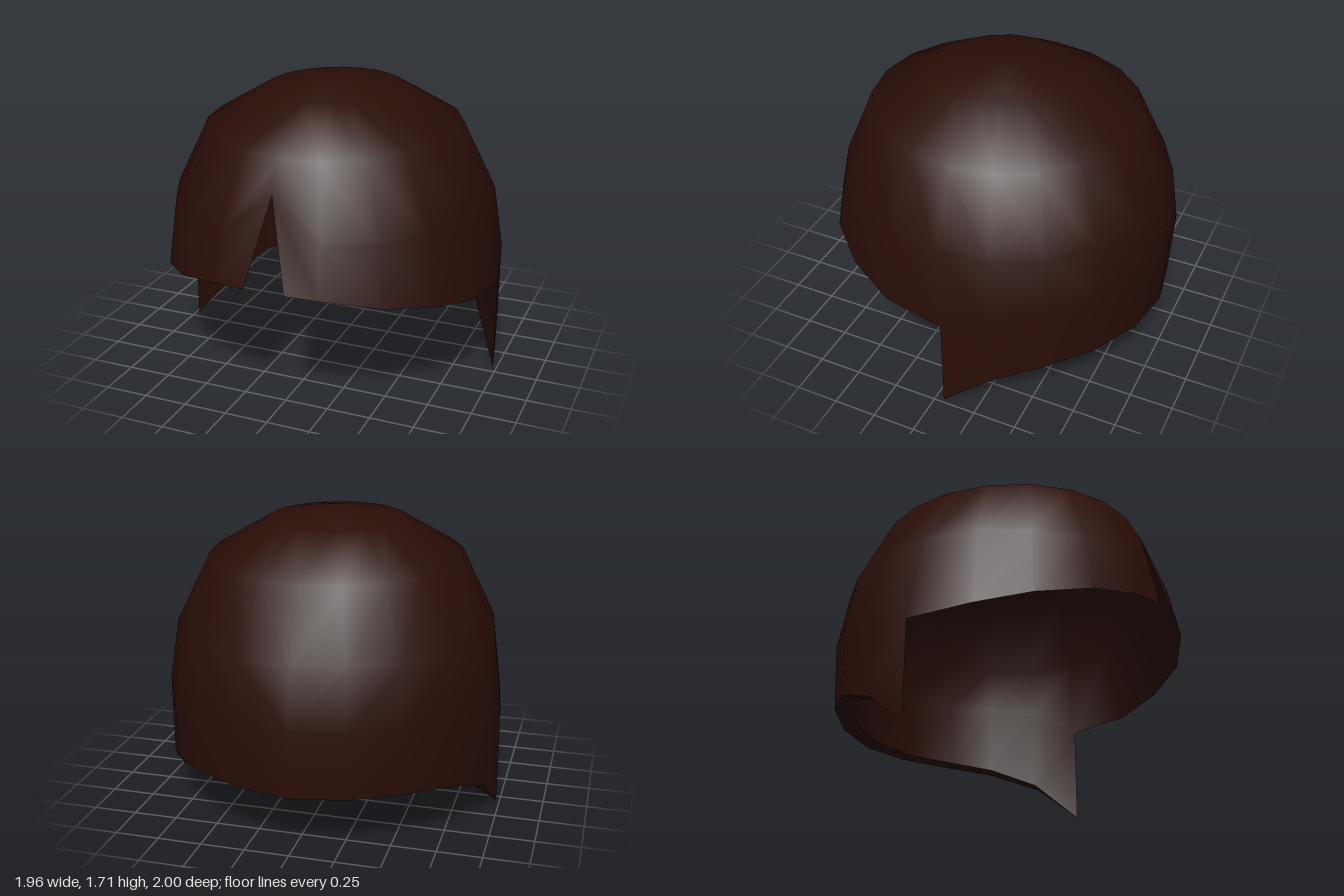
import * as THREE from 'three';
import { mergeVertices } from 'three/addons/utils/BufferGeometryUtils.js';

// Half outlines [x, y, z], running from front centre round to back centre
const BROW = [
  [0.115, 0.77, 1], [0.3, 0.755, 0.96], [0.58, 0.7, 0.82], [0.79, 0.645, 0.59], [0.93, 0.59, 0.31], [0.98, 0.565, -0.05],
  [0.93, 0.68, -0.31], [0.79, 0.72, -0.59], [0.58, 0.72, -0.81], [0.3, 0.72, -0.95], [0, 0.72, -1],
];
const NAPE = [
  [0.98, 0, -0.05], [0.93, 0.205, -0.3], [0.79, 0.31, -0.58], [0.58, 0.335, -0.79], [0.3, 0.33, -0.93], [0, 0.325, -0.98],
];
// Crown rings: x radius, z radius, height, z shift
const CROWN = [[0, 0, 1.705, 0], [0.385, 0.415, 1.635, 0.005], [0.725, 0.772, 1.435, 0.008], [0.92, 0.95, 1.04, 0]];

// Outer point on ring r at column j (20 columns, 0 and 20 at the front)
function outerPoint(r, j) {
  const k = Math.min(j, 20 - j), side = j <= 10 ? 1 : -1;
  if (r === 3 && k === 0) return [0, 1.26, 0.87]; // top of the parting notch
  if (r < 4) {
    const [rx, rz, y, dz] = CROWN[r], a = (k * Math.PI) / 10;
    return [side * rx * Math.sin(a), y, rz * Math.cos(a) + dz];
  }
  const [x, y, z] = r === 4 ? BROW[k] : NAPE[k - 5];
  return [side * x, y, z];
}

// Lining point: meets the outer hair along the brow, notch and side tips, set in elsewhere
function innerPoint(r, j) {
  const k = Math.min(j, 20 - j), [x, y, z] = outerPoint(r, j);
  if ((r >= 4 && k <= 5) || (r === 3 && k === 0)) return [x, y, z];
  if (r >= 4) return [x * 0.895, y, z * 0.895];
  return [x * 0.92, 0.4 + (y - 0.4) * 0.92, z * 0.92];
}

function geometryFrom(triangles) {
  let g = new THREE.BufferGeometry();
  g.setAttribute('position', new THREE.Float32BufferAttribute(triangles.flat(2), 3));
  g = mergeVertices(g, 1e-4);
  g.computeVertexNormals();
  return g;
}

// Domed rings, with the lowest band only round the back
function shell(point, inward) {
  const tris = [];
  for (let r = 0; r < 5; r++) {
    for (let j = r === 4 ? 5 : 0; j < (r === 4 ? 15 : 20); j++) {
      const a = point(r, j), b = point(r, j + 1), c = point(r + 1, j + 1), d = point(r + 1, j);
      if (r === 0) tris.push([a, d, c]);
      else if (j < 10) tris.push([a, d, c], [a, c, b]);
      else tris.push([a, d, b], [b, d, c]);
    }
  }
  return geometryFrom(inward ? tris.map((t) => t.reverse()) : tris);
}

// Underside of the nape, tapering to nothing at the side tips
function napeRim() {
  const tris = [];
  for (let j = 5; j < 15; j++) {
    const a = outerPoint(5, j), b = outerPoint(5, j + 1), c = innerPoint(5, j + 1), d = innerPoint(5, j);
    if (j < 14) tris.push([b, a, c]);
    if (j > 5) tris.push([a, d, c]);
    if (j === 14) tris[tris.length - 1] = [b, a, d];
  }
  return geometryFrom(tris);
}

export function createModel() {
  const group = new THREE.Group();
  group.name = 'hairCap';
  const material = new THREE.MeshStandardMaterial({ color: 0x2a0d07 });
  const parts = { outerHair: shell(outerPoint, false), lining: shell(innerPoint, true), napeRim: napeRim() };
  for (const [name, geometry] of Object.entries(parts)) {
    const mesh = new THREE.Mesh(geometry, material);
    mesh.name = name;
    group.add(mesh);
  }
  return group;
}
